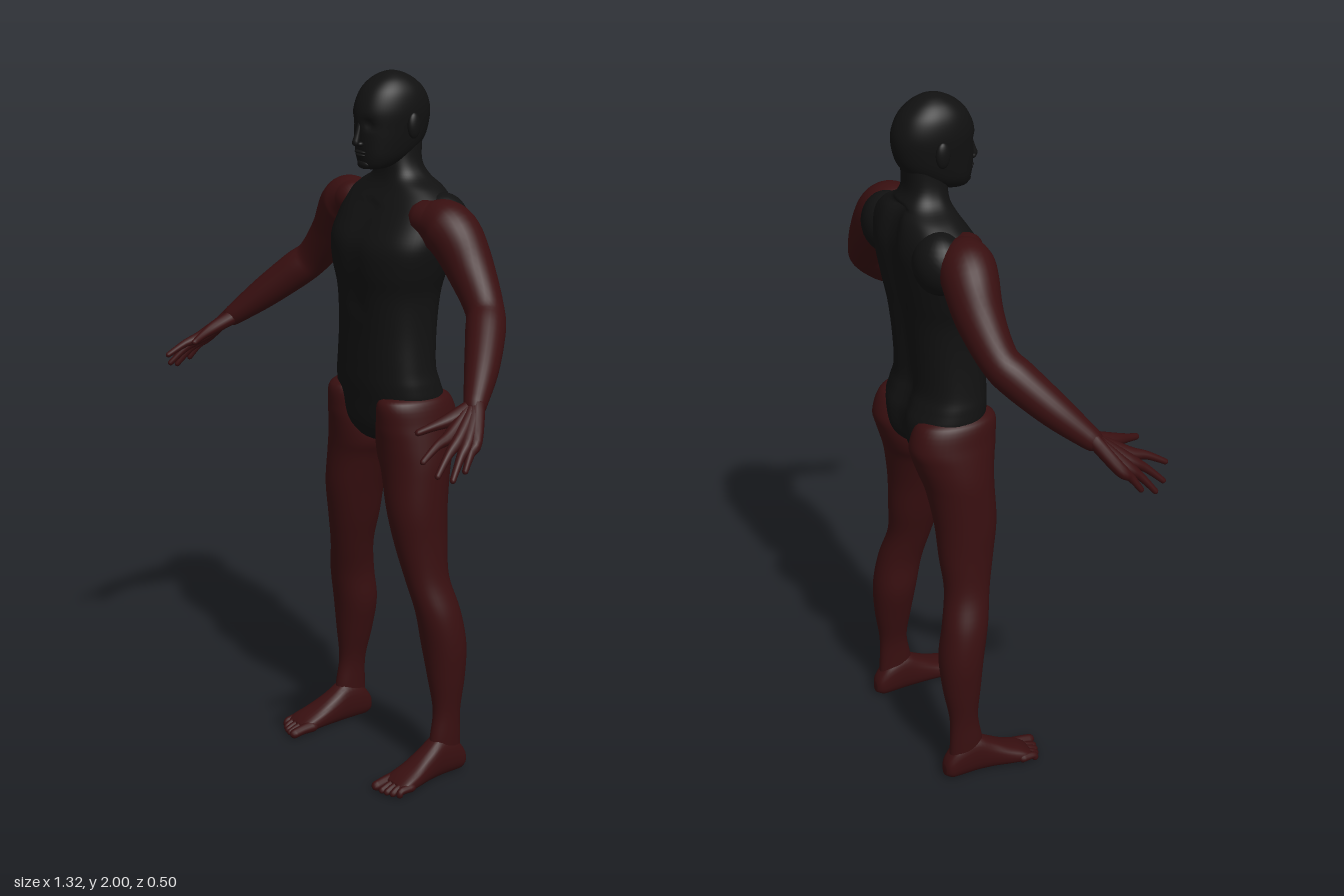
import * as THREE from 'three';
import { mergeGeometries } from 'three/addons/utils/BufferGeometryUtils.js';

const V = (x, y, z) => new THREE.Vector3(x, y, z);

// Catmull-Rom interpolation of every column of a table
function smooth(rows, steps) {
  const out = [], at = i => rows[Math.max(0, Math.min(rows.length - 1, i))];
  for (let i = 0; i < rows.length - 1; i++) {
    for (let k = 0; k < steps; k++) {
      const t = k / steps;
      out.push(rows[i].map((b, c) => {
        const a = at(i - 1)[c], d = at(i + 1)[c], e = at(i + 2)[c];
        return 0.5 * (2 * b + (d - a) * t + (2 * a - 5 * b + 4 * d - e) * t * t + (3 * b - a - 3 * d + e) * t ** 3);
      }));
    }
  }
  out.push(rows[rows.length - 1]);
  return out;
}

// closed smooth surface through rings of points; side -1 mirrors it in x
function skin(rings, side = 1) {
  const n = rings[0].length, pos = [], index = [];
  const tri = (a, b, c) => side > 0 ? index.push(a, b, c) : index.push(a, c, b);
  const add = p => pos.push(p.x * side, p.y, p.z);
  rings.forEach(r => r.forEach(add));
  for (const r of [rings[0], rings[rings.length - 1]]) {
    add(r.reduce((s, p) => s.add(p), V(0, 0, 0)).divideScalar(n));
  }
  const first = rings.length * n, last = (rings.length - 1) * n;
  for (let j = 0; j < n; j++) {
    const k = (j + 1) % n;
    for (let i = 0; i < last; i += n) {
      tri(i + j, i + k, i + n + j);
      tri(i + k, i + n + k, i + n + j);
    }
    tri(first, k, j);
    tri(first + 1, last + j, last + k);
  }
  const g = new THREE.BufferGeometry();
  g.setAttribute('position', new THREE.Float32BufferAttribute(pos, 3));
  g.setIndex(index);
  g.computeVertexNormals();
  return g;
}

// superellipse ring around c with half-axes u and v
function ring(c, u, v, n, power = 2) {
  const f = a => Math.sign(a) * Math.abs(a) ** (2 / power);
  return Array.from({ length: n }, (_, j) => {
    const t = j / n * Math.PI * 2;
    return c.clone().addScaledVector(u, f(Math.cos(t))).addScaledVector(v, f(Math.sin(t)));
  });
}

// upright loft from rows [y, xMin, xMax, zFront, zBack]
function upright(rows, side, power, n = 40, bend = p => p) {
  return skin(smooth(rows, 5).map(([y, x0, x1, zf, zb]) =>
    ring(V((x0 + x1) / 2, y, (zf + zb) / 2), V(0, 0, (zf - zb) / 2), V((x1 - x0) / 2, 0, 0), n, power).map(bend)), side);
}

// round-ended limb through rows [x, y, z, radius]
function limb(rows, side, n = 12, steps = 4) {
  const pts = smooth(rows, steps), P = pts.map(p => V(p[0], p[1], p[2])), rings = [];
  const last = P.length - 1;
  const section = (i, shift, scale) => {
    const d = P[Math.min(i + 1, last)].clone().sub(P[Math.max(i - 1, 0)]).normalize();
    const u = V(-d.z, 0, d.x).normalize();
    const r = pts[i][3], v = d.clone().cross(u);
    rings.push(ring(P[i].clone().addScaledVector(d, shift * r), u.multiplyScalar(r * scale), v.multiplyScalar(r * scale), n));
  };
  for (const a of [1.4, 1, 0.5]) section(0, -Math.sin(a), Math.cos(a));
  P.forEach((_, i) => section(i, 0, 1));
  for (const a of [0.5, 1, 1.4]) section(last, Math.sin(a), Math.cos(a));
  return skin(rings, side);
}

// ellipsoid without uv, so that it merges with the lofts
function ball(x, y, z, rx, ry, rz) {
  return new THREE.SphereGeometry(1, 24, 16).deleteAttribute('uv').scale(rx, ry, rz).translate(x, y, z);
}

export function createModel() {
  const model = new THREE.Group();
  const black = new THREE.MeshStandardMaterial({ color: 0x111111 });
  black.name = 'black suit';
  const red = new THREE.MeshStandardMaterial({ color: 0x380f10 });
  red.name = 'dark red skin';
  const add = (name, geo, mat, parent = model) => {
    const m = new THREE.Mesh(geo, mat);
    m.name = name;
    parent.add(m);
  };

  // torso and neck, with a groove down the spine and chest
  const torso = [
    [0.965, 0.02, -0.08, -0.14], [0.99, 0.06, -0.03, -0.2], [1.03, 0.13, -0.01, -0.232],
    [1.1, 0.172, -0.004, -0.236], [1.15, 0.173, 0, -0.22], [1.2, 0.165, 0, -0.207], [1.3, 0.158, 0, -0.213],
    [1.4, 0.162, 0.005, -0.225], [1.47, 0.182, 0.014, -0.237], [1.54, 0.197, 0.011, -0.248],
    [1.6, 0.195, -0.018, -0.254], [1.65, 0.185, -0.05, -0.248], [1.69, 0.14, -0.075, -0.236],
    [1.72, 0.085, -0.085, -0.217], [1.76, 0.063, -0.087, -0.2], [1.83, 0.058, -0.09, -0.205],
  ].map(([y, w, f, b]) => [y, -w, w, f, b]);
  add('torso', upright(torso, 1, 2.4, 64, p => {
    const dip = Math.exp(-((p.x / 0.035) ** 2));
    if (p.z < -0.16 && p.y < 1.72) p.z += 0.022 * dip;
    if (p.z > -0.05 && p.y > 1.35) p.z -= 0.006 * dip;
    return p;
  }), black);

  // head with shallow eye sockets
  const head = new THREE.Group();
  head.name = 'head';
  model.add(head);
  const skull = [
    [1.742, 0.022, -0.035, -0.085], [1.75, 0.042, -0.02, -0.11], [1.775, 0.06, -0.012, -0.165],
    [1.81, 0.07, -0.008, -0.208], [1.85, 0.076, -0.006, -0.226], [1.9, 0.08, -0.006, -0.23],
    [1.945, 0.073, -0.024, -0.212], [1.975, 0.055, -0.052, -0.182], [1.993, 0.03, -0.085, -0.15], [2, 0.006, -0.112, -0.122],
  ].map(([y, w, f, b]) => [y, -w, w, f, b]);
  add('skull', upright(skull, 1, 2.15, 64, p => {
    if (p.z > -0.08) p.z -= 0.011 * Math.exp(-(((Math.abs(p.x) - 0.03) / 0.014) ** 2) - ((p.y - 1.868) / 0.012) ** 2);
    return p;
  }), black, head);
  add('nose', mergeGeometries([
    limb([[0, 1.868, -0.012, 0.007], [0, 1.84, -0.004, 0.008], [0, 1.817, 0.003, 0.01]], 1),
    ball(-0.01, 1.813, -0.006, 0.008, 0.007, 0.01), ball(0.01, 1.813, -0.006, 0.008, 0.007, 0.01)]), black, head);
  add('lips', mergeGeometries([ball(0, 1.791, -0.013, 0.022, 0.005, 0.011), ball(0, 1.782, -0.015, 0.019, 0.005, 0.011)]), black, head);
  add('chin', ball(0, 1.757, -0.025, 0.024, 0.014, 0.014), black, head);

  const leg = [
    [1.132, 0.08, 0.14, -0.07, -0.16], [1.115, 0.045, 0.182, -0.004, -0.222], [1.05, 0.026, 0.2, 0, -0.248],
    [1, 0.012, 0.211, -0.006, -0.237], [0.95, 0.013, 0.219, -0.012, -0.22], [0.9, 0.035, 0.222, -0.015, -0.205],
    [0.8, 0.065, 0.225, -0.015, -0.19], [0.7, 0.09, 0.226, -0.03, -0.185], [0.6, 0.12, 0.235, -0.05, -0.18],
    [0.5, 0.143, 0.265, -0.07, -0.2], [0.4, 0.147, 0.276, -0.088, -0.215], [0.3, 0.17, 0.271, -0.1, -0.21],
    [0.2, 0.195, 0.261, -0.11, -0.195], [0.12, 0.2, 0.26, -0.097, -0.196], [0.05, 0.2, 0.258, -0.09, -0.2],
  ].reverse();
  const arm = [
    [0.165, 1.625, -0.11, 0.05], [0.205, 1.612, -0.13, 0.072], [0.25, 1.583, -0.142, 0.074], [0.31, 1.505, -0.147, 0.064],
    [0.385, 1.418, -0.133, 0.052], [0.43, 1.373, -0.1, 0.053], [0.5, 1.297, -0.03, 0.045], [0.56, 1.228, 0.04, 0.03],
  ];
  // knuckle and tip of each finger
  const fingers = [
    [[0.582, 1.175, 0.135], [0.603, 1.13, 0.24]], [[0.602, 1.168, 0.125], [0.632, 1.095, 0.216]],
    [[0.617, 1.16, 0.11], [0.65, 1.082, 0.182]], [[0.625, 1.158, 0.09], [0.647, 1.097, 0.14]],
  ];
  // foot sections: z, centre x, half width, top y
  const foot = [
    [-0.216, 0.228, 0.012, 0.045], [-0.205, 0.228, 0.026, 0.07], [-0.17, 0.228, 0.034, 0.11], [-0.12, 0.229, 0.036, 0.125],
    [-0.07, 0.232, 0.04, 0.095], [-0.02, 0.237, 0.046, 0.066], [0.025, 0.24, 0.05, 0.046], [0.05, 0.24, 0.046, 0.03],
  ];

  for (const side of [1, -1]) {
    const s = side > 0 ? 'left' : 'right';
    add(s + 'Ear', ball(side * 0.082, 1.86, -0.13, 0.012, 0.035, 0.02), black, head);
    add(s + 'ShoulderBlade', ball(side * 0.15, 1.6, -0.178, 0.08, 0.085, 0.07), black);
    add(s + 'Leg', upright(leg, side, 2.1), red);
    add(s + 'Arm', limb(arm, side, 28, 5), red);

    // hand: each finger runs on through the palm to the wrist
    const hand = fingers.map(([k, t], i) => {
      const mid = k.map((a, c) => (a + t[c]) / 2 + (c === 1 ? 0.006 : 0));
      return limb([[0.553 + i * 0.006, 1.232, 0.04, 0.02], [...k, 0.018], [...mid, 0.0115], [...t, 0.008]], side);
    });
    hand.push(limb([[0.555, 1.225, 0.045, 0.022], [0.551, 1.203, 0.115, 0.018], [0.54, 1.19, 0.16, 0.012], [0.527, 1.178, 0.196, 0.009]], side));
    add(s + 'Hand', mergeGeometries(hand), red);

    // foot and five toes
    const parts = [skin(smooth(foot, 4).map(([z, x, w, top]) => {
      const low = Math.max(0, 0.012 - (z + 0.216) * 0.6);
      return ring(V(x, (top + low) / 2, z), V(w, 0, 0), V(0, (top - low) / 2, 0), 24, 2.4);
    }), side)];
    for (let i = 0; i < 5; i++) {
      const r = i ? 0.0105 : 0.015, x = 0.204 + (i ? 0.007 : 0) + i * 0.0175;
      parts.push(limb([[x, 0.022, 0.015, r + 0.003], [x, 0.02, 0.05, r], [x, r, 0.08 - 0.003 * i * i / 2, r * 0.95]], side));
    }
    add(s + 'Foot', mergeGeometries(parts), red);
  }
  return model;
}
